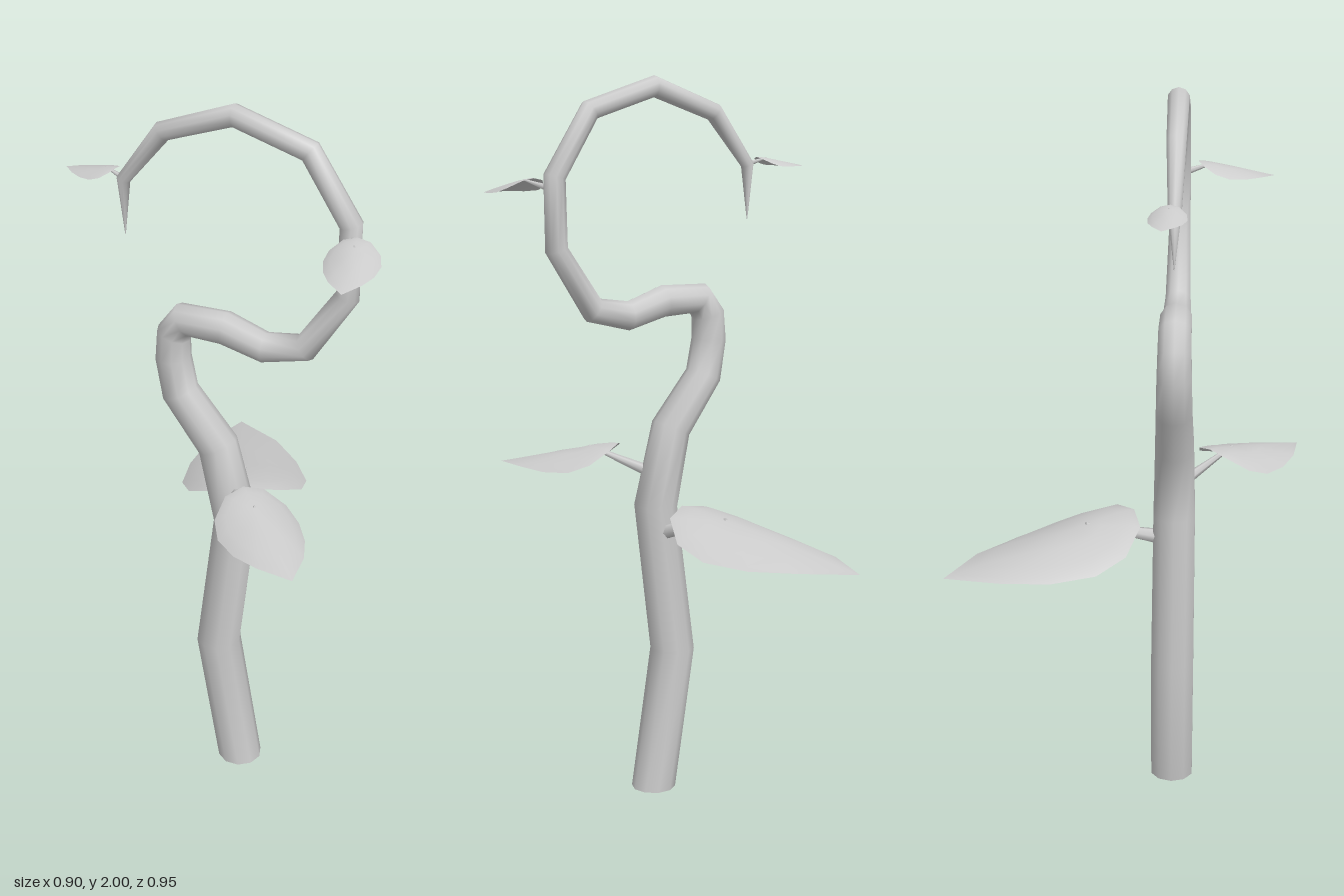
import * as THREE from 'three';

const V = (x, y, z) => new THREE.Vector3(x, y, z);
const material = new THREE.MeshStandardMaterial({ color: 0xcccccc });
const leafMaterial = new THREE.MeshStandardMaterial({ color: 0xcccccc, side: THREE.DoubleSide });
const STEM_Z = 0.13;

function buildGeometry(positions, index) {
  const g = new THREE.BufferGeometry();
  g.setAttribute('position', new THREE.Float32BufferAttribute(positions, 3));
  g.setIndex(index);
  g.computeVertexNormals();
  return g;
}

function addMesh(parent, name, geometry, mat = material) {
  const m = new THREE.Mesh(geometry, mat);
  m.name = name;
  parent.add(m);
  return m;
}

// Stem centre line: x, y, radius
const stemPath = [
  [0.048, 0, 0.062], [-0.016, 0.403, 0.062], [0.037, 0.825, 0.06],
  [-0.013, 1.04, 0.055], [-0.12, 1.18, 0.05], [-0.138, 1.28, 0.048],
  [-0.135, 1.35, 0.046], [-0.105, 1.395, 0.045], [0.01, 1.395, 0.044],
  [0.12, 1.362, 0.04], [0.23, 1.385, 0.036], [0.338, 1.55, 0.031],
  [0.341, 1.74, 0.03], [0.233, 1.91, 0.029], [0.037, 1.97, 0.029],
  [-0.154, 1.9, 0.026], [-0.265, 1.756, 0.018], [-0.265, 1.607, 0.001],
];

// Tapered tube: one ring per path point, set on the bisector of the bend
function stemGeometry(sides = 10) {
  const positions = [], index = [];
  const n = stemPath.length;
  const heading = (a, b) => new THREE.Vector2(b[0] - a[0], b[1] - a[1]).normalize();
  stemPath.forEach(([x, y, r], i) => {
    const t = new THREE.Vector2();
    if (i > 0) t.add(heading(stemPath[i - 1], stemPath[i]));
    if (i < n - 1) t.add(heading(stemPath[i], stemPath[i + 1]));
    t.normalize();
    if (i === 0) t.set(0, 1); // flat foot on the ground
    for (let j = 0; j < sides; j++) {
      const a = (j / sides) * Math.PI * 2;
      const c = Math.cos(a) * r;
      positions.push(x + t.y * c, y - t.x * c, STEM_Z + Math.sin(a) * r);
      if (i < n - 1) {
        const k = (j + 1) % sides;
        const p = i * sides, q = p + sides;
        index.push(p + j, q + j, p + k, q + j, q + k, p + k);
      }
    }
  });
  return buildGeometry(positions, index);
}

// Half outline of a leaf: fraction along the midrib, half width (per unit length)
const half = [[0.03, 0.15], [0.16, 0.28], [0.33, 0.315], [0.55, 0.275], [0.77, 0.18]];
const outline = [
  [0, 0], ...half, [1, 0],
  ...half.map(([u, w]) => [u, -w]).reverse(),
];

// Arched leaf blade: rings growing from a hub to the outline
function bladeGeometry(base, tip, arch) {
  const along = tip.clone().sub(base);
  const length = along.length();
  const side = along.clone().cross(V(0, 1, 0)).normalize();
  const hub = 0.32, rings = [0.4, 0.75, 0.92, 1];
  const positions = [], index = [];
  const put = (u, w, s) => {
    const drop = arch * (w / 0.315) ** 2 + 0.02 * s ** 4 * (1 - u);
    const p = base.clone().addScaledVector(along, u).addScaledVector(side, w * length);
    positions.push(p.x, p.y - drop * length, p.z);
  };
  put(hub, 0, 0);
  const n = outline.length;
  rings.forEach((s, i) => outline.forEach(([u, w], j) => {
    put(hub + (u - hub) * s, w * s, s);
    const k = (j + 1) % n, q = 1 + i * n, p = q - n;
    if (i === 0) index.push(0, q + k, q + j);
    else index.push(p + j, p + k, q + j, p + k, q + k, q + j);
  }));
  return buildGeometry(positions, index);
}

// Thin stalk tapering from the stem onto the leaf
function stalkGeometry(from, to, radius) {
  const d = to.clone().sub(from);
  const g = new THREE.CylinderGeometry(radius * 0.25, radius, d.length(), 6);
  g.applyQuaternion(new THREE.Quaternion().setFromUnitVectors(V(0, 1, 0), d.clone().normalize()));
  const c = from.clone().add(to).multiplyScalar(0.5);
  return g.translate(c.x, c.y, c.z);
}

const leaves = [
  { name: 'largeBackLeaf', base: V(0.02, 0.855, 0.02), tip: V(-0.21, 0.73, -0.48), arch: 0.1, root: V(0.03, 0.76, 0.085), reach: 0.26, r: 0.022 },
  { name: 'frontLeaf', base: V(0.1, 1.0, 0.225), tip: V(0.34, 0.925, 0.475), arch: 0.13, root: V(0.045, 0.92, 0.155), reach: 0.25, r: 0.016 },
  { name: 'upperLeaf', base: V(0.375, 1.74, 0.18), tip: V(0.415, 1.69, 0.39), arch: 0.1, root: V(0.35, 1.71, 0.14), reach: 0.2, r: 0.01 },
  { name: 'tipLeaf', base: V(-0.29, 1.78, 0.12), tip: V(-0.44, 1.75, 0.103), arch: 0.1, root: V(-0.262, 1.757, 0.13), reach: 0.2, r: 0.008 },
];

export function createModel() {
  const model = new THREE.Group();
  model.name = 'curledVine';

  addMesh(model, 'stem', stemGeometry());
  const foot = new THREE.CircleGeometry(stemPath[0][2], 10).rotateX(Math.PI / 2);
  addMesh(model, 'stemFoot', foot.translate(stemPath[0][0], 0, STEM_Z));

  for (const { name, base, tip, arch, root, reach, r } of leaves) {
    const leaf = new THREE.Group();
    leaf.name = name;
    addMesh(leaf, 'blade', bladeGeometry(base, tip, arch), leafMaterial);
    addMesh(leaf, 'stalk', stalkGeometry(root, base.clone().lerp(tip, reach), r));
    model.add(leaf);
  }
  return model;
}
